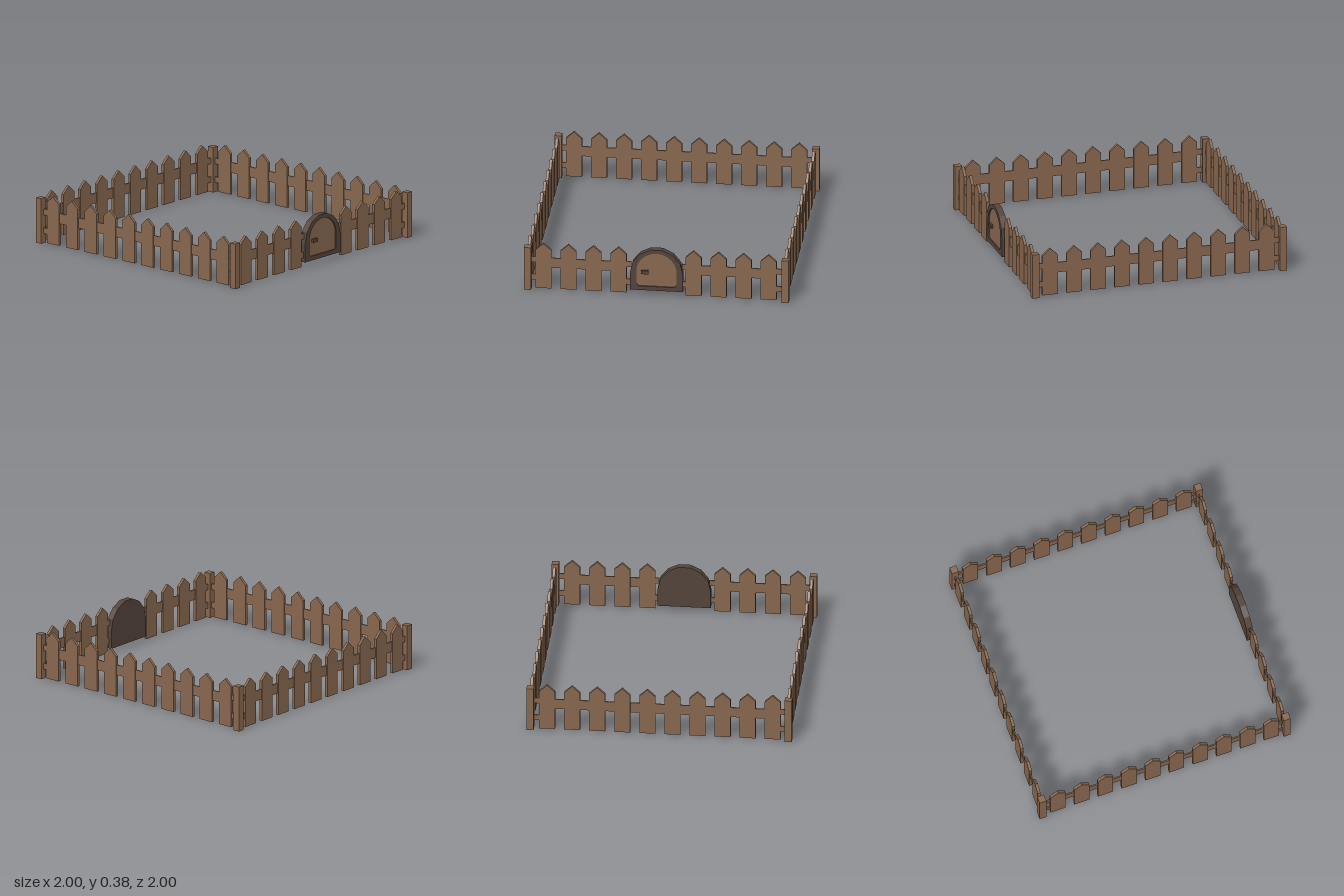
import * as THREE from 'three';

const wood = new THREE.MeshStandardMaterial({ color: 0x87674e });
wood.name = 'wood';
const darkWood = new THREE.MeshStandardMaterial({ color: 0x53443a });
darkWood.name = 'darkWood';

const EDGE = 0.97;       // distance from the centre to each fence line
const FIRST = -0.855;    // centre of the first picket along a run
const STEP = 0.189;
const PICKET = 0.12;

function box(name, x0, x1, y0, y1, z0, z1, material) {
  const mesh = new THREE.Mesh(new THREE.BoxGeometry(x1 - x0, y1 - y0, z1 - z0), material);
  mesh.position.set((x0 + x1) / 2, (y0 + y1) / 2, (z0 + z1) / 2);
  mesh.name = name;
  return mesh;
}

function extrude(name, shape, z0, z1, material) {
  const geometry = new THREE.ExtrudeGeometry(shape, { depth: z1 - z0, bevelEnabled: false });
  const mesh = new THREE.Mesh(geometry, material);
  mesh.position.z = z0;
  mesh.name = name;
  return mesh;
}

// Pointed board
function picket(x) {
  const w = PICKET / 2;
  const shape = new THREE.Shape([[-w, 0.01], [w, 0.01], [w, 0.325], [0, 0.38], [-w, 0.325]]
    .map(([px, py]) => new THREE.Vector2(px, py)));
  const mesh = extrude('picket', shape, -0.011, 0.011, wood);
  mesh.position.x = x;
  return mesh;
}

// Run of pickets with one wide rail and two short connectors at each end
function fenceSection(name, first, last, startX, endX) {
  const section = new THREE.Group();
  section.name = name;
  for (let i = first; i <= last; i++) section.add(picket(FIRST + i * STEP));
  const a = FIRST + first * STEP, b = FIRST + last * STEP;
  section.add(box('rail', a, b, 0.18, 0.26, -0.005, 0.005, wood));
  for (const [y0, y1] of [[0.075, 0.12], [0.22, 0.265]]) {
    section.add(box('connector', startX, a, y0, y1, -0.005, 0.005, wood));
    section.add(box('connector', b, endX, y0, y1, -0.005, 0.005, wood));
  }
  return section;
}

// Arch with straight sides, faceted over the given number of sides
function archPoints(radiusX, radiusY, bottom, spring, sides, corner = 0) {
  const points = [];
  if (corner) points.push([-radiusX, bottom + corner], [-radiusX + corner, bottom],
    [radiusX - corner, bottom], [radiusX, bottom + corner]);
  else points.push([-radiusX, bottom], [radiusX, bottom]);
  for (let i = 0; i <= sides; i++) {
    const t = Math.PI * i / sides;
    points.push([radiusX * Math.cos(t), spring + radiusY * Math.sin(t)]);
  }
  return points.map(([x, y]) => new THREE.Vector2(x, y));
}

function gate() {
  const group = new THREE.Group();
  group.name = 'gate';
  const outer = () => new THREE.Shape(archPoints(0.2, 0.2, 0.042, 0.183, 7));
  const opening = archPoints(0.152, 0.152, 0.075, 0.197, 20, 0.018);
  const rim = outer();
  rim.holes.push(new THREE.Path(opening));
  group.add(extrude('gateBack', outer(), 0.94, 0.965, darkWood));
  group.add(extrude('gateFrame', rim, 0.965, 0.99, darkWood));
  group.add(extrude('gatePanel', new THREE.Shape(opening), 0.965, 0.98, wood));
  group.add(box('handle', -0.115, -0.06, 0.177, 0.205, 0.98, 0.996, darkWood));
  return group;
}

export function createModel() {
  const model = new THREE.Group();
  model.name = 'picketFence';

  // Corner posts
  for (const x of [-1, 1]) for (const z of [-1, 1]) {
    const post = box('post', -0.027, 0.027, 0, 0.35, -0.027, 0.027, wood);
    post.position.x = x * 0.973;
    post.position.z = z * 0.973;
    model.add(post);
  }

  // Back and sides
  const back = fenceSection('backFence', 0, 9, -0.95, 0.95);
  back.position.z = -0.974;
  model.add(back);
  for (const [name, x] of [['leftFence', EDGE], ['rightFence', -EDGE]]) {
    const side = fenceSection(name, 0, 9, -0.95, 0.95);
    side.rotation.y = Math.PI / 2;
    side.position.x = x;
    model.add(side);
  }

  // Front, either side of the gate
  for (const section of [fenceSection('frontRightFence', 0, 3, -0.95, -0.19),
    fenceSection('frontLeftFence', 6, 9, 0.19, 0.95)]) {
    section.position.z = 0.967;
    model.add(section);
  }
  model.add(gate());
  return model;
}
